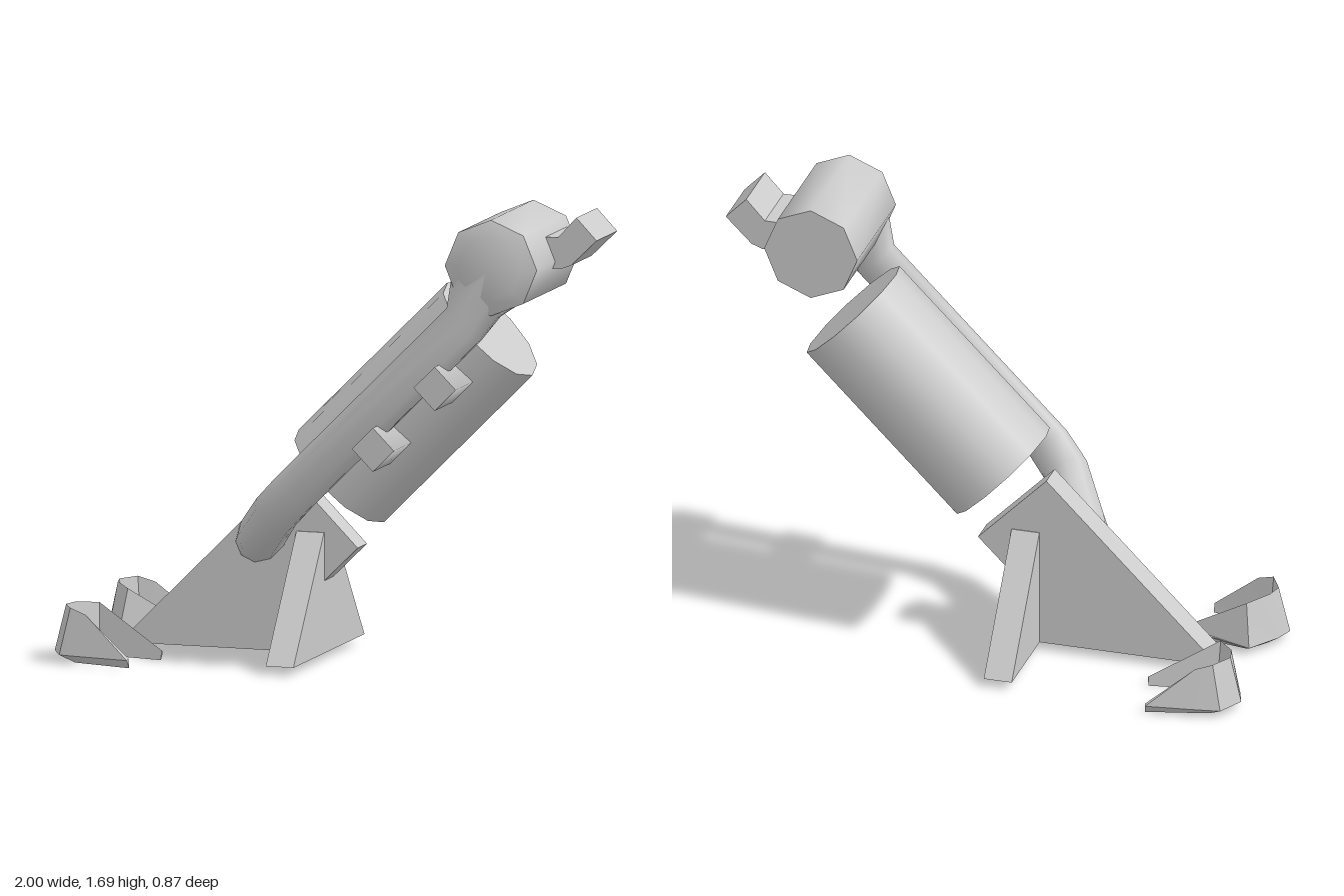
import * as THREE from 'three';
import { toCreasedNormals } from 'three/addons/utils/BufferGeometryUtils.js';

const material = new THREE.MeshStandardMaterial({ color: 0xcccccc, side: THREE.DoubleSide });

function add(parent, name, geometry, x = 0, y = 0, z = 0) {
  const mesh = new THREE.Mesh(geometry, material);
  mesh.name = name;
  mesh.position.set(x, y, z);
  parent.add(mesh);
  return mesh;
}

// Flat outline in x and y, given a thickness along z
function slab(points, depth) {
  const shape = new THREE.Shape(points.map(([x, y]) => new THREE.Vector2(x, y)));
  return new THREE.ExtrudeGeometry(shape, { depth, bevelEnabled: false });
}

// Skin over a row of rings with equal point counts, closed at both ends
function loft(rings, crease) {
  const n = rings[0].length;
  const last = (rings.length - 1) * n;
  const index = [];
  for (let i = 0; i < rings.length - 1; i++) {
    for (let j = 0; j < n; j++) {
      const a = i * n + j, b = i * n + (j + 1) % n;
      index.push(a, a + n, b, b, a + n, b + n);
    }
  }
  for (let j = 1; j < n - 1; j++) {
    index.push(0, j, j + 1, last, last + j + 1, last + j);
  }
  const geometry = new THREE.BufferGeometry();
  geometry.setAttribute('position', new THREE.Float32BufferAttribute(rings.flat(2), 3));
  geometry.setIndex(index);
  return toCreasedNormals(geometry, crease);
}

// Curved arm: [outer s, outer z, inner s, inner z, middle height, half height]
function armGeometry() {
  const stations = [
    [0.0, 0.06, 0.18, 0.0, 0.527, 0.087],
    [0.04, 0.125, 0.22, 0.05, 0.527, 0.087],
    [0.23, 0.305, 0.33, 0.2, 0.527, 0.087],
    [0.375, 0.35, 0.42, 0.24, 0.527, 0.087],
    [1.31, 0.35, 1.31, 0.24, 0.527, 0.088],
    [1.42, 0.347, 1.42, 0.2, 0.578, 0.125],
    [1.54, 0.343, 1.54, 0.15, 0.6, 0.17],
  ];
  const sides = 10;
  return loft(stations.map(([so, zo, si, zi, t, h]) =>
    Array.from({ length: sides }, (_, j) => {
      const angle = (j / sides) * Math.PI * 2;
      const k = (1 + Math.cos(angle)) / 2;
      return [si + (so - si) * k, t + h * Math.sin(angle), zi + (zo - zi) * k];
    })), 1.1);
}

// Horseshoe foot: [outer x, outer z, inner x, inner z, top height]
function footGeometry() {
  const stations = [
    [-0.68, 0.437, -0.675, 0.422, 0.035],
    [-0.86, 0.412, -0.85, 0.378, 0.18],
    [-0.95, 0.397, -0.9, 0.365, 0.2],
    [-1.0, 0.3, -0.94, 0.295, 0.2],
    [-0.975, 0.23, -0.93, 0.24, 0.2],
    [-0.9, 0.12, -0.87, 0.175, 0.19],
    [-0.62, 0.207, -0.625, 0.216, 0.035],
  ];
  return loft(stations.map(([xo, zo, xi, zi, top]) => [
    [xi, 0, zi],
    [xi * 0.7 + xo * 0.3, top, zi * 0.7 + zo * 0.3],
    [xo, 0.03, zo],
  ]), 0.6);
}

export function createModel() {
  const model = new THREE.Group();
  model.name = 'microscopeLikeInstrument';

  // Wedge stand and its splayed rear support
  add(model, 'wedgeStand', slab([
    [-0.84, 0.03], [-0.165, 0.03], [-0.165, 0.19], [0.067, 0.42], [-0.19, 0.68],
  ], 0.104), 0, 0, -0.052);
  const support = add(model, 'rearSupport', slab([
    [-0.395, 0.03], [0.395, 0.03], [0.055, 0.47], [-0.055, 0.47],
  ], 0.105), -0.165);
  support.rotation.y = Math.PI / 2;

  // Pair of hooked feet
  const foot = footGeometry();
  add(model, 'leftFoot', foot);
  add(model, 'rightFoot', foot).scale.z = -1;

  // Everything on the tilted axis
  const tilted = new THREE.Group();
  tilted.name = 'tiltedAssembly';
  tilted.rotation.z = Math.PI / 4;
  model.add(tilted);

  add(tilted, 'arm', armGeometry());
  const barrel = add(tilted, 'barrel', new THREE.CylinderGeometry(0.228, 0.228, 0.8, 12), 0.866, 0.484);
  barrel.rotation.z = Math.PI / 2;

  // Clamps between the arm and the barrel
  for (const s of [0.764, 1.096]) {
    const clamp = add(tilted, 'clamp', new THREE.CylinderGeometry(0.08, 0.08, 0.19, 4), s, 0.424, 0.295);
    clamp.rotation.set(Math.PI / 2, Math.PI / 4, 0);
  }

  // Octagonal head with a softened outer end
  const profile = [[0, -0.155], [0.175, -0.155], [0.175, 0.32], [0.12, 0.34], [0, 0.345]]
    .map(([r, h]) => new THREE.Vector2(r, h));
  const head = add(model, 'head', toCreasedNormals(new THREE.LatheGeometry(profile, 8), 0.9), 0.665, 1.515);
  head.rotation.x = Math.PI / 2;

  // Bent eyepiece
  add(model, 'eyepiece', slab([
    [0.72, 1.49], [0.86, 1.49], [0.9, 1.505], [0.997, 1.6], [0.92, 1.68], [0.85, 1.604], [0.72, 1.604],
  ], 0.23), 0, 0, -0.115);

  return model;
}
